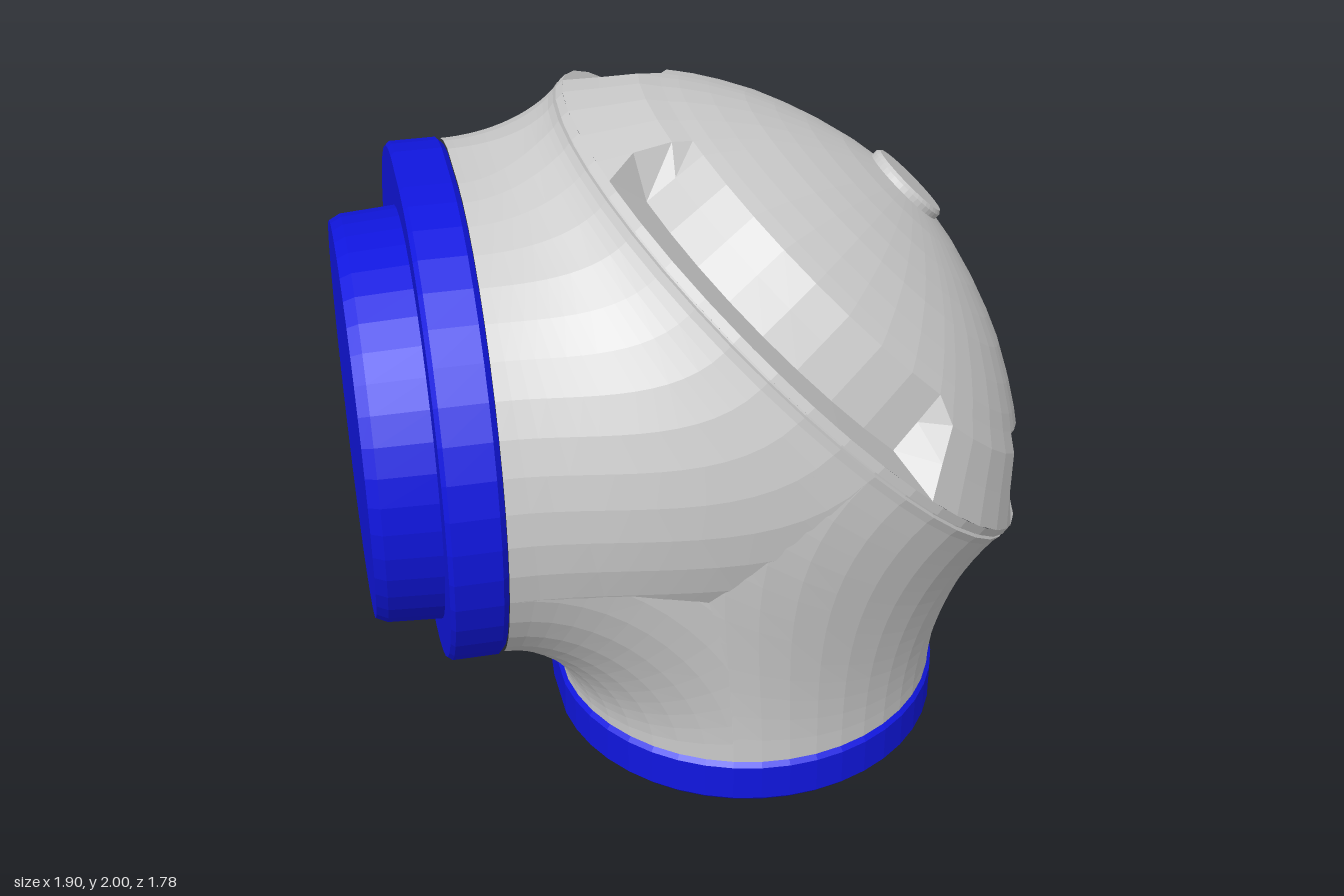
import * as THREE from 'three';

const SEG = 44;
const V = (x, y, z) => new THREE.Vector3(x, y, z);
const grey = new THREE.MeshStandardMaterial({ color: 0xcccccc, flatShading: true });
const blue = new THREE.MeshStandardMaterial({ color: 0x1016e0, flatShading: true });

// Closed ring of points from a rule of cosine and sine
const ring = (rule) => Array.from({ length: SEG }, (_, i) => {
  const t = (i / SEG) * Math.PI * 2;
  return rule(Math.cos(t), Math.sin(t));
});

// Skin over a stack of rings, optionally closed at either end
function stack(name, material, rings, capStart = false, capEnd = false) {
  const collapse = (r) => {
    const c = r.reduce((sum, p) => sum.add(p), V(0, 0, 0)).divideScalar(r.length);
    return r.map(() => c);
  };
  const all = [...rings];
  if (capStart) all.unshift(collapse(rings[0]));
  if (capEnd) all.push(collapse(rings[rings.length - 1]));
  const n = all[0].length;
  const index = [];
  for (let j = 0; j < all.length - 1; j++) {
    for (let i = 0; i < n; i++) {
      const a = j * n + i, b = j * n + ((i + 1) % n), c = a + n, d = b + n;
      if (!(capStart && j === 0)) index.push(a, d, b);
      if (!(capEnd && j === all.length - 2)) index.push(a, c, d);
      if (capStart && j === 0) index.push(a, c, d);
      if (capEnd && j === all.length - 2) index.push(a, d, b);
    }
  }
  const geometry = new THREE.BufferGeometry().setFromPoints(all.flat());
  geometry.setIndex(index);
  geometry.computeVertexNormals();
  const mesh = new THREE.Mesh(geometry, material);
  mesh.name = name;
  return mesh;
}

// Smooth skin between two rings, leaving and arriving along given directions
function blend(name, from, dirFrom, to, dirTo, steps = 14) {
  const rings = [];
  for (let k = 0; k <= steps; k++) {
    const t = k / steps, t2 = t * t, t3 = t2 * t;
    rings.push(from.map((p, i) => {
      const q = to[i], len = p.distanceTo(q);
      return V(0, 0, 0)
        .addScaledVector(p, 2 * t3 - 3 * t2 + 1)
        .addScaledVector(dirFrom, (t3 - 2 * t2 + t) * len)
        .addScaledVector(q, 3 * t2 - 2 * t3)
        .addScaledVector(dirTo, (t3 - t2) * len);
    }));
  }
  return stack(name, grey, rings);
}

// Port outlines: circles, stretched along z by "ext"
const bottomRing = (r, ext, y) =>
  ring((c, s) => V(0.135 + r * c, y, 0.11 + r * s + (s > 1e-6 ? ext : 0)));
const sideRing = (r, ext, x) =>
  ring((c, s) => V(x, 1.18 + r * c, 0.1 + r * s - (s < -1e-6 ? ext : 0)));

// Tilted frame of the domed cover
const AXIS = V(1, 1, 0).normalize();
const DOWN = V(1, -1, 0).normalize();
const coverPoint = (r, h, c, s) => V(0.317, 1.362, 0)
  .addScaledVector(AXIS, h).addScaledVector(DOWN, r * c).add(V(0, 0, r * s));
const coverRing = (r, h) => ring((c, s) => coverPoint(r, h, c, s));

function createDome() {
  // Three notches, 120 degrees apart, with lobes running out to the rim between
  const offsets = [-60, -51, -43, -38, -28.5, -19, -9.5, 0, 9.5, 19, 28.5, 38, 43, 51];
  const angles = [0, 120, 240].flatMap((a) => offsets.map((o) => ({ a: a + o, notch: Math.abs(o) < 40 })));
  // [lobe radius, lobe height, notch radius, notch height]
  const profile = [
    [0.887, 0, 0.887, 0], [0.82, 0.075, 0.73, 0.005], [0.75, 0.156, 0.715, 0.1],
    [0.7, 0.19, 0.7, 0.19], [0.66, 0.22], [0.59, 0.265], [0.5, 0.315], [0.42, 0.35],
    [0.33, 0.383], [0.22, 0.415], [0.12, 0.435],
  ];
  const rings = profile.map(([r, h, nr = r, nh = h]) => angles.map(({ a, notch }) => {
    const t = THREE.MathUtils.degToRad(a);
    return coverPoint(notch ? nr : r, notch ? nh : h, Math.cos(t), Math.sin(t));
  }));
  return stack('domeCover', grey, rings, false, true);
}

export function createModel() {
  const model = new THREE.Group();
  const up = V(0, 1, 0), outward = V(-1, 0, 0);

  // Elbow housing: three blends joining the two ports and the tilted flange
  const body = new THREE.Group();
  body.name = 'housing';
  const bottom = bottomRing(0.55, 0.1, 0.32);
  const side = sideRing(0.68, 0.13, -0.62);
  const rim = coverRing(0.885, -0.058);
  const rimFlipped = ring((c, s) => coverPoint(0.885, -0.058, -c, s));
  body.add(
    blend('bottomNeck', bottom, up, rim, AXIS),
    blend('sideNeck', rimFlipped, AXIS.clone().negate(), side, outward),
    blend('innerElbow', bottom, up, side, outward),
  );
  model.add(body);

  // Flange with a seam groove
  model.add(stack('flange', grey, [
    [0.885, -0.06], [0.889, -0.036], [0.876, -0.033], [0.876, -0.028], [0.889, -0.025], [0.887, 0],
  ].map(([r, h]) => coverRing(r, h))));

  // Dome and its centre button
  model.add(createDome());
  model.add(stack('button', grey,
    [[0.125, 0.41], [0.125, 0.45], [0.117, 0.46]].map(([r, h]) => coverRing(r, h)), false, true));

  // Bottom port: round plug and wider collar
  model.add(stack('bottomPlug', blue,
    [[0.42, 0], [0.435, 0.015], [0.44, 0.19]].map(([r, y]) => bottomRing(r, 0, y)), true, false));
  model.add(stack('bottomCollar', blue,
    [[0.545, 0.178], [0.56, 0.195], [0.56, 0.305], [0.545, 0.32]]
      .map(([r, y]) => bottomRing(r, 0.1, y)), true, true));

  // Side port: collar and round plug
  model.add(stack('sideCollar', blue,
    [[0.67, -0.62], [0.685, -0.635], [0.685, -0.76], [0.675, -0.772]]
      .map(([r, x]) => sideRing(r, 0.13, x)), true, true));
  model.add(stack('sidePlug', blue,
    [[0.57, -0.76], [0.56, -0.92], [0.545, -0.95]].map(([r, x]) => sideRing(r, 0, x)), false, true));

  return model;
}
